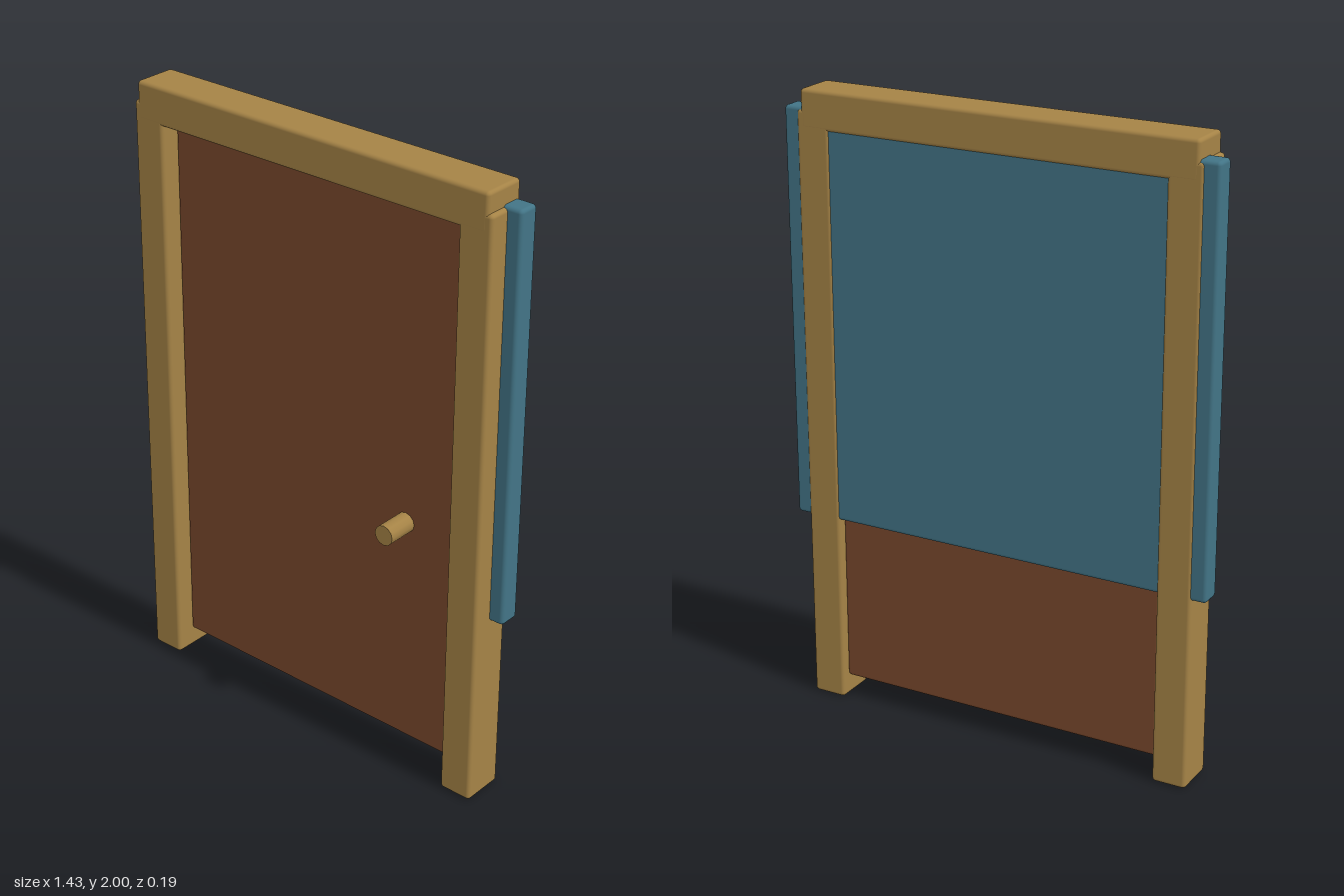
import * as THREE from 'three';
import { RoundedBoxGeometry } from 'three/addons/geometries/RoundedBoxGeometry.js';

export function createModel() {
  const model = new THREE.Group();
  model.name = 'door';
  const paint = (name, color) => {
    const m = new THREE.MeshStandardMaterial({ color });
    m.name = name;
    return m;
  };
  const ochre = paint('ochre wood', 0xa58346);
  const brown = paint('brown wood', 0x7a492d);
  const teal = paint('teal panel', 0x427486);

  // Box with softened edges, given by its limits on each axis
  const block = (name, material, [x0, x1], [y0, y1], [z0, z1]) => {
    const geometry = new RoundedBoxGeometry(x1 - x0, y1 - y0, z1 - z0, 2, 0.012);
    const mesh = new THREE.Mesh(geometry, material);
    mesh.name = name;
    mesh.position.set((x0 + x1) / 2, (y0 + y1) / 2, (z0 + z1) / 2);
    model.add(mesh);
  };

  // Frame: two posts and a lintel
  const depth = [-0.0925, 0.05];
  block('leftPost', ochre, [0.555, 0.667], [0, 1.937], depth);
  block('rightPost', ochre, [-0.667, -0.555], [0, 1.937], depth);
  block('lintel', ochre, [-0.653, 0.653], [1.877, 2], [-0.093, 0.0505]);

  // Door leaf, recessed between the posts
  block('doorLeaf', brown, [-0.556, 0.556], [0.07, 1.88], [-0.066, -0.01]);

  // Wide panel across the back, passing through the posts
  block('backPanel', teal, [-0.714, 0.714], [0.625, 1.943], [-0.088, -0.017]);

  // Door knob
  const knob = new THREE.Mesh(new THREE.CylinderGeometry(0.033, 0.033, 0.1125, 12), ochre);
  knob.name = 'knob';
  knob.rotation.x = Math.PI / 2;
  knob.position.set(0.35, 0.842, 0.03625);
  model.add(knob);

  return model;
}
